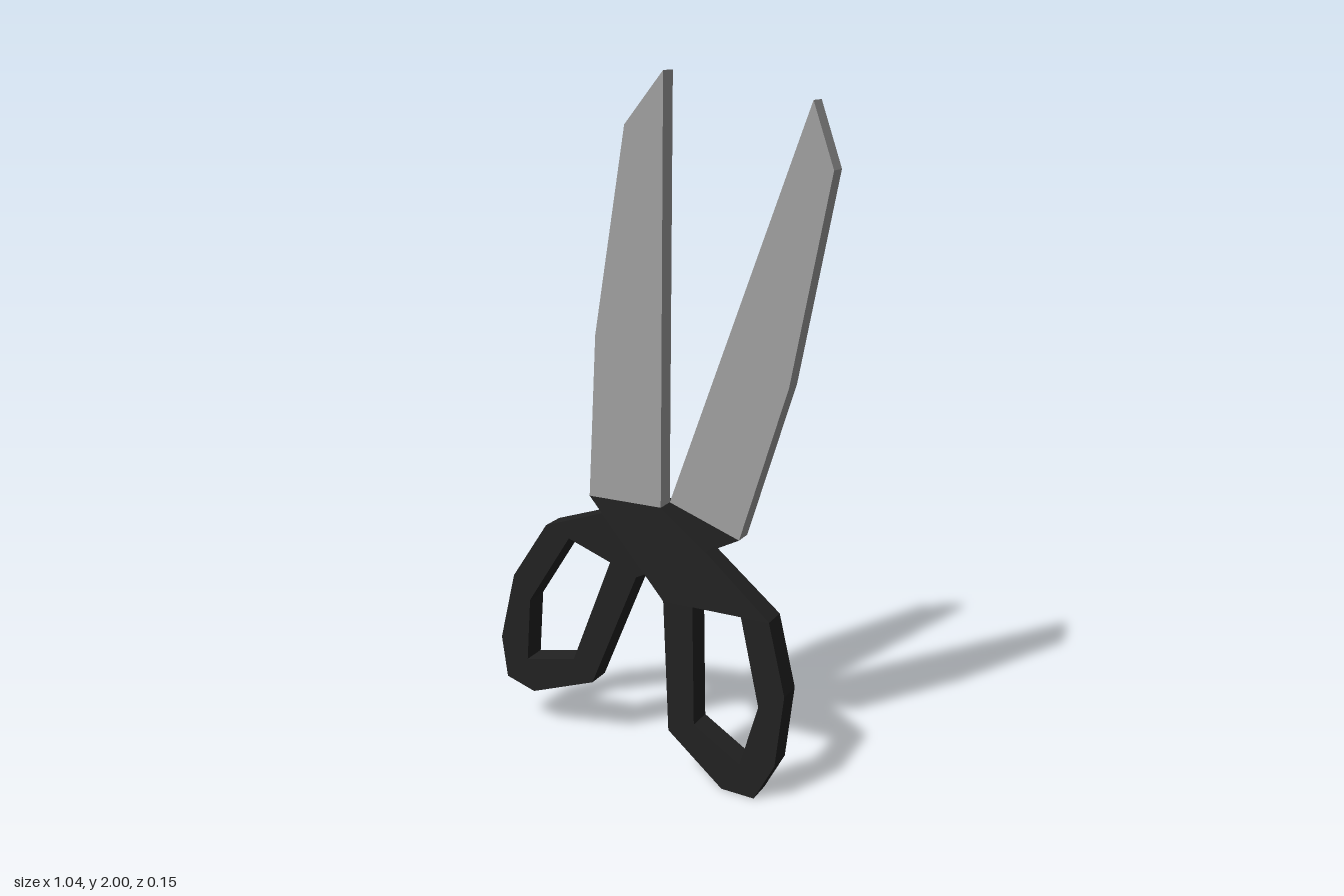
import * as THREE from 'three';

const steel = new THREE.MeshStandardMaterial({ name: 'steelGrey', color: 0xa0a0a0 });
const plastic = new THREE.MeshStandardMaterial({ name: 'blackPlastic', color: 0x222222 });

const PIVOT = [0.066, 0.815];
const BLADE_DEPTH = 0.055;
const GRIP_DEPTH = 0.075;
const NECK_Y = 0.545;

// Flat plate between z = 0 and depth(y), drawn relative to the pivot
function plate(name, points, material, depth) {
  const shape = new THREE.Shape(points.map(([x, y]) => new THREE.Vector2(x - PIVOT[0], y - PIVOT[1])));
  const geometry = new THREE.ExtrudeGeometry(shape, { depth: 1, bevelEnabled: false });
  const pos = geometry.attributes.position;
  for (let i = 0; i < pos.count; i++) pos.setZ(i, pos.getZ(i) * depth(pos.getY(i) + PIVOT[1]));
  geometry.computeVertexNormals();
  const mesh = new THREE.Mesh(geometry, material);
  mesh.name = name;
  return mesh;
}

// One half of the scissors: blade, thickening neck and finger loop
function createHalf(name) {
  const half = new THREE.Group();
  half.name = name;

  half.add(plate('blade', [
    [-0.164, 0.815], [0.066, 0.815], [0.07, 2], [-0.045, 1.86], [-0.14, 1.286],
  ], steel, () => BLADE_DEPTH));

  half.add(plate('neck', [
    [-0.164, 0.815], [0.085, NECK_Y], [0.177, NECK_Y], [0.326, NECK_Y],
    [0.41, NECK_Y], [0.21, 0.71], [0.066, 0.815],
  ], plastic, (y) => THREE.MathUtils.mapLinear(y, PIVOT[1], NECK_Y, BLADE_DEPTH, GRIP_DEPTH)));

  // Open loop whose top is closed by the neck
  half.add(plate('fingerLoop', [
    [0.085, NECK_Y], [0.103, 0.148], [0.275, 0.004], [0.376, 0], [0.437, 0.116],
    [0.461, 0.334], [0.41, NECK_Y], [0.326, NECK_Y], [0.384, 0.286],
    [0.33, 0.095], [0.185, 0.185], [0.177, NECK_Y],
  ], plastic, () => GRIP_DEPTH));

  half.position.set(PIVOT[0], PIVOT[1], 0);
  return half;
}

export function createModel() {
  const model = new THREE.Group();
  model.name = 'scissors';
  const front = createHalf('frontHalf');
  // The rear half is the same piece turned around and swung open
  const rear = createHalf('rearHalf');
  rear.rotation.set(0, Math.PI, THREE.MathUtils.degToRad(19.8));
  model.add(front, rear);
  return model;
}
